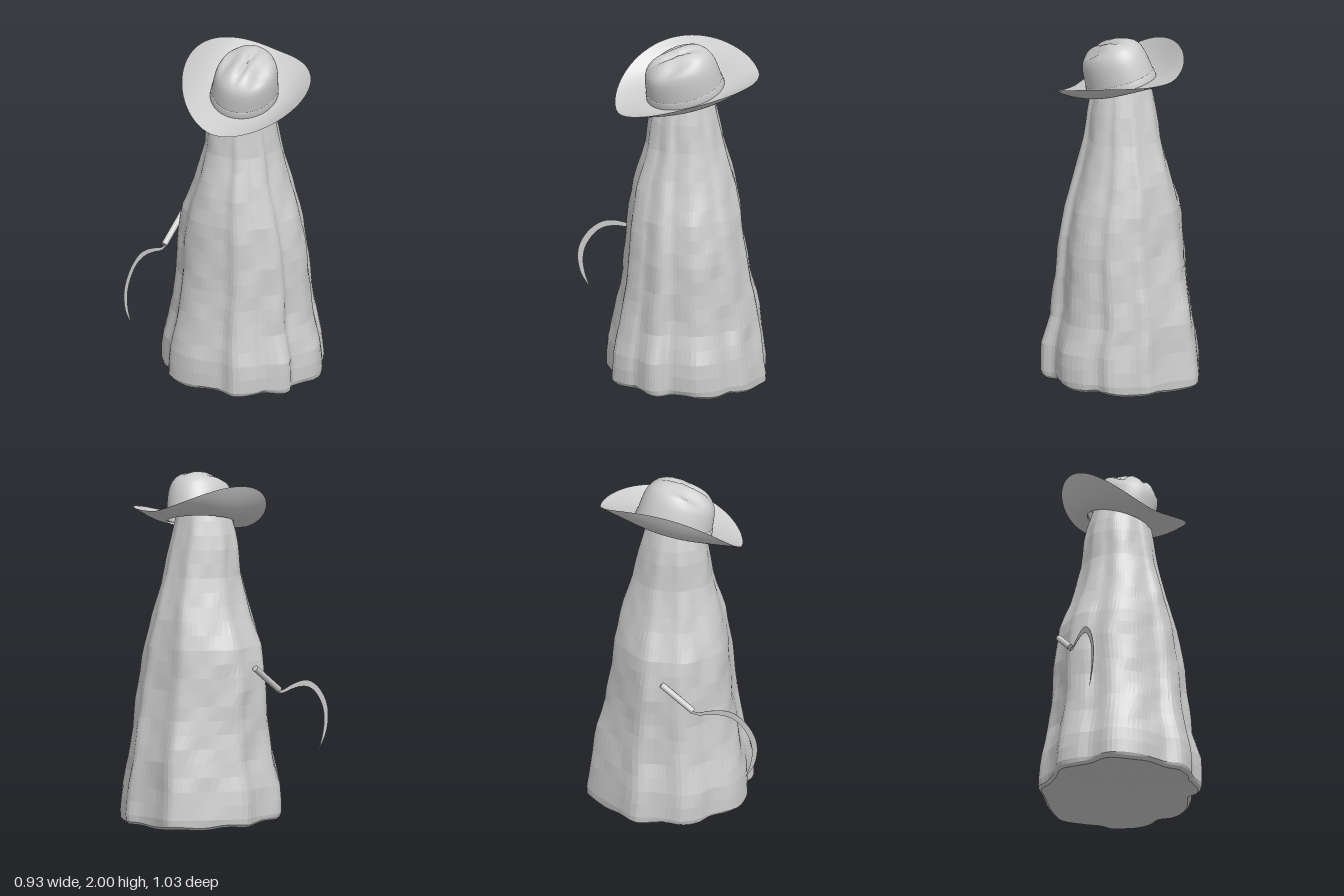
import * as THREE from 'three';

const grey = (opts = {}) => new THREE.MeshStandardMaterial({ color: 0xcccccc, ...opts });

function addMesh(parent, name, geometry, material) {
  const mesh = new THREE.Mesh(geometry, material);
  mesh.name = name;
  parent.add(mesh);
  return mesh;
}

// Skin a closed-loop grid: point(t, row) -> [x, y, z], rows running upwards
function loft(columns, rows, point) {
  const position = [], index = [];
  for (let r = 0; r < rows; r++) {
    for (let c = 0; c < columns; c++) position.push(...point(c / columns, r));
  }
  for (let r = 0; r < rows - 1; r++) {
    for (let c = 0; c < columns; c++) {
      const a = r * columns + c, b = r * columns + (c + 1) % columns;
      index.push(a, a + columns, b, b, a + columns, b + columns);
    }
  }
  const g = new THREE.BufferGeometry();
  g.setAttribute('position', new THREE.Float32BufferAttribute(position, 3));
  g.setIndex(index);
  g.computeVertexNormals();
  return g;
}

// Piecewise linear lookup in rows sorted by their first value
function sample(table, y) {
  let i = 0;
  while (i < table.length - 2 && y > table[i + 1][0]) i++;
  const a = table[i], b = table[i + 1];
  const k = THREE.MathUtils.clamp((y - a[0]) / (b[0] - a[0]), 0, 1);
  return a.map((v, n) => v + (b[n] - v) * k);
}

// Wavy outline of the hem, x and z, starting at the back
const HEM = [
  [-0.12, -0.525], [0, -0.49], [0.1, -0.48], [0.2, -0.485], [0.26, -0.43], [0.37, -0.335],
  [0.385, -0.26], [0.44, -0.18], [0.465, -0.06], [0.43, 0.03], [0.395, 0.1], [0.415, 0.17],
  [0.395, 0.22], [0.3, 0.285], [0.27, 0.33], [0.17, 0.4], [0.08, 0.38], [0, 0.39],
  [-0.1, 0.4], [-0.2, 0.38], [-0.28, 0.33], [-0.33, 0.235], [-0.4, 0.175], [-0.455, 0.08],
  [-0.435, -0.02], [-0.43, -0.1], [-0.44, -0.2], [-0.34, -0.32], [-0.26, -0.41], [-0.17, -0.5],
];

// Height, right x, left x, back z, front z, depth of the folds
const BODY = [
  [0, -0.455, 0.465, -0.515, 0.395, 1],
  [0.2, -0.445, 0.46, -0.485, 0.39, 1],
  [0.4, -0.395, 0.405, -0.465, 0.35, 0.9],
  [0.6, -0.375, 0.39, -0.42, 0.315, 0.8],
  [0.8, -0.37, 0.375, -0.385, 0.295, 0.7],
  [1.0, -0.345, 0.335, -0.365, 0.28, 0.65],
  [1.2, -0.265, 0.27, -0.33, 0.245, 0.65],
  [1.4, -0.215, 0.22, -0.27, 0.185, 0.6],
  [1.6, -0.2, 0.19, -0.225, 0.16, 0.5],
  [1.7, -0.175, 0.165, -0.2, 0.135, 0.4],
  [1.82, -0.13, 0.135, -0.17, 0.1, 0.3],
  [1.89, 0, 0, -0.03, -0.03, 0],
];

function sheetGeometry() {
  const outline = new THREE.CatmullRomCurve3(
    HEM.map(([x, z]) => new THREE.Vector3((x - 0.005) / 0.46, 0, (z + 0.06) / 0.455)), true);
  const rows = 27;
  return loft(96, rows, (t, r) => {
    // first row closes the underside, the next two roll the hem in
    const y = r === 0 ? 0.06 : r < 3 ? 0.03 : 0.065 + (r - 3) * 1.825 / (rows - 4);
    // folds wander sideways as they rise
    const drift = 0.006 * Math.sin(5 * y + 4 * Math.PI * t) * Math.min(1, 2 * y);
    const u = outline.getPoint((t + drift + 1) % 1);
    const length = u.length();
    const angle = Math.atan2(u.z, u.x);
    const lift = r === 1 || r === 2
      ? 0.015 * (r - 1) - 0.007 + 0.017 * u.z + 0.006 * Math.sin(9 * angle) : 0;
    const [, x0, x1, z0, z1, fold] = sample(BODY, y);
    const shrink = [0, 0.95, 0.985][r] ?? 1;
    // crumples in the cloth
    const ripple = r < 3 ? 0 : Math.min(1, 3 * y) * (
      0.012 * Math.sin(5 * angle + 9 * y) * Math.sin(13 * y + 2 * angle)
      + 0.008 * Math.sin(11 * angle - 5 * y) * Math.sin(21 * y + angle));
    const k = shrink * (1 + (length - 1) * fold + ripple) / length;
    return [
      (x0 + x1) / 2 + u.x * k * (x1 - x0) / 2,
      Math.max(0, y + lift),
      (z0 + z1) / 2 + u.z * k * (z1 - z0) / 2,
    ];
  });
}

function createHat() {
  const hat = new THREE.Group();
  hat.name = 'hat';
  const felt = grey({ side: THREE.DoubleSide });

  // Brim, curled up at both sides; rows run from the rim inwards over a thin edge
  const brimRows = 12;
  const brim = (drop) => (t, r) => {
    const a = t * Math.PI * 2, k = 1 - r / (brimRows - 1);
    const c = Math.cos(a), s = Math.sin(a);
    const curl = (0.125 - 0.016 * c) * Math.pow(Math.abs(c), 1.6) * Math.pow(k, 1.7);
    return [c * (0.175 + 0.178 * k), curl - drop * (1 - k ** 4), s * (0.21 + 0.208 * k)];
  };
  addMesh(hat, 'brimTop', loft(72, brimRows, brim(0)), felt);
  addMesh(hat, 'brimUnderside', loft(72, brimRows, brim(0.012)), felt);

  // Crown with a long crease and a pinch on each side
  const profile = [
    [0, 1], [0.05, 0.985], [0.1, 0.965], [0.145, 0.935], [0.18, 0.89], [0.21, 0.82], [0.235, 0.72],
    [0.25, 0.6], [0.26, 0.46], [0.265, 0.31], [0.268, 0.15], [0.269, 0],
  ];
  const dent = (x, z, cx, cz, wx, wz) => Math.exp(-(((x - cx) / wx) ** 2) - ((z - cz) / wz) ** 2);
  const crown = loft(64, profile.length, (t, r) => {
    const a = t * Math.PI * 2, [y, k] = profile[r];
    const x = Math.cos(a) * 0.182 * k, z = Math.sin(a) * 0.222 * k + 0.01;
    const top = THREE.MathUtils.smoothstep(y, 0.12, 0.25);
    const sink = 0.03 * dent(x, z, 0.005, 0.03, 0.022, 0.12)
      + 0.04 * dent(x, z, -0.1, 0.05, 0.035, 0.1) + 0.04 * dent(x, z, 0.1, 0.05, 0.035, 0.1);
    return [x, y - top * (sink + 0.11 * Math.max(0, z)), z];
  });
  addMesh(hat, 'crown', crown, felt);

  // Hat band
  const bandRows = [[0, 1.01], [0.004, 1.02], [0.038, 1.008], [0.042, 0.98]];
  const band = loft(64, bandRows.length, (t, r) => {
    const a = t * Math.PI * 2, [y, k] = bandRows[r];
    return [Math.cos(a) * 0.182 * k, y, Math.sin(a) * 0.222 * k + 0.01];
  });
  addMesh(hat, 'hatBand', band, felt);

  hat.position.set(0.008, 1.724, -0.05);
  hat.rotation.set(0.23, 0, -0.21);
  return hat;
}

function createSickle() {
  const sickle = new THREE.Group();
  sickle.name = 'sickle';

  // Handle
  const from = new THREE.Vector3(-0.382, 0.905, -0.045), to = new THREE.Vector3(-0.408, 0.765, 0.14);
  const axis = to.clone().sub(from);
  const handle = addMesh(sickle, 'handle', new THREE.CylinderGeometry(0.018, 0.018, axis.length(), 16), grey());
  handle.position.copy(from).lerp(to, 0.5);
  handle.quaternion.setFromUnitVectors(new THREE.Vector3(0, 1, 0), axis.normalize());

  // Crescent blade, drawn as distance forward from the handle end and height
  const points = (list) => list.map(([x, y]) => new THREE.Vector2(x, y));
  const shape = new THREE.Shape();
  shape.moveTo(-0.02, 0.77);
  shape.splineThru(points([[0.03, 0.76], [0.1, 0.782], [0.18, 0.798], [0.25, 0.787], [0.32, 0.735],
    [0.37, 0.655], [0.383, 0.57], [0.363, 0.475], [0.312, 0.39]]));
  shape.splineThru(points([[0.34, 0.475], [0.352, 0.56], [0.337, 0.64], [0.29, 0.715],
    [0.235, 0.754], [0.17, 0.765], [0.1, 0.757], [0.03, 0.742], [-0.02, 0.752]]));
  const geometry = new THREE.ExtrudeGeometry(shape, { depth: 0.002, bevelEnabled: false, curveSegments: 30 });
  geometry.translate(0, 0, -0.001);
  const blade = addMesh(sickle, 'blade', geometry, grey());
  blade.position.set(-0.406, 0, 0.14);
  blade.rotation.y = -(Math.PI / 2 + 0.16);
  return sickle;
}

export function createModel() {
  const model = new THREE.Group();
  model.name = 'sheetedFigure';
  addMesh(model, 'drapedSheet', sheetGeometry(), grey({ flatShading: true }));
  model.add(createHat(), createSickle());
  return model;
}
